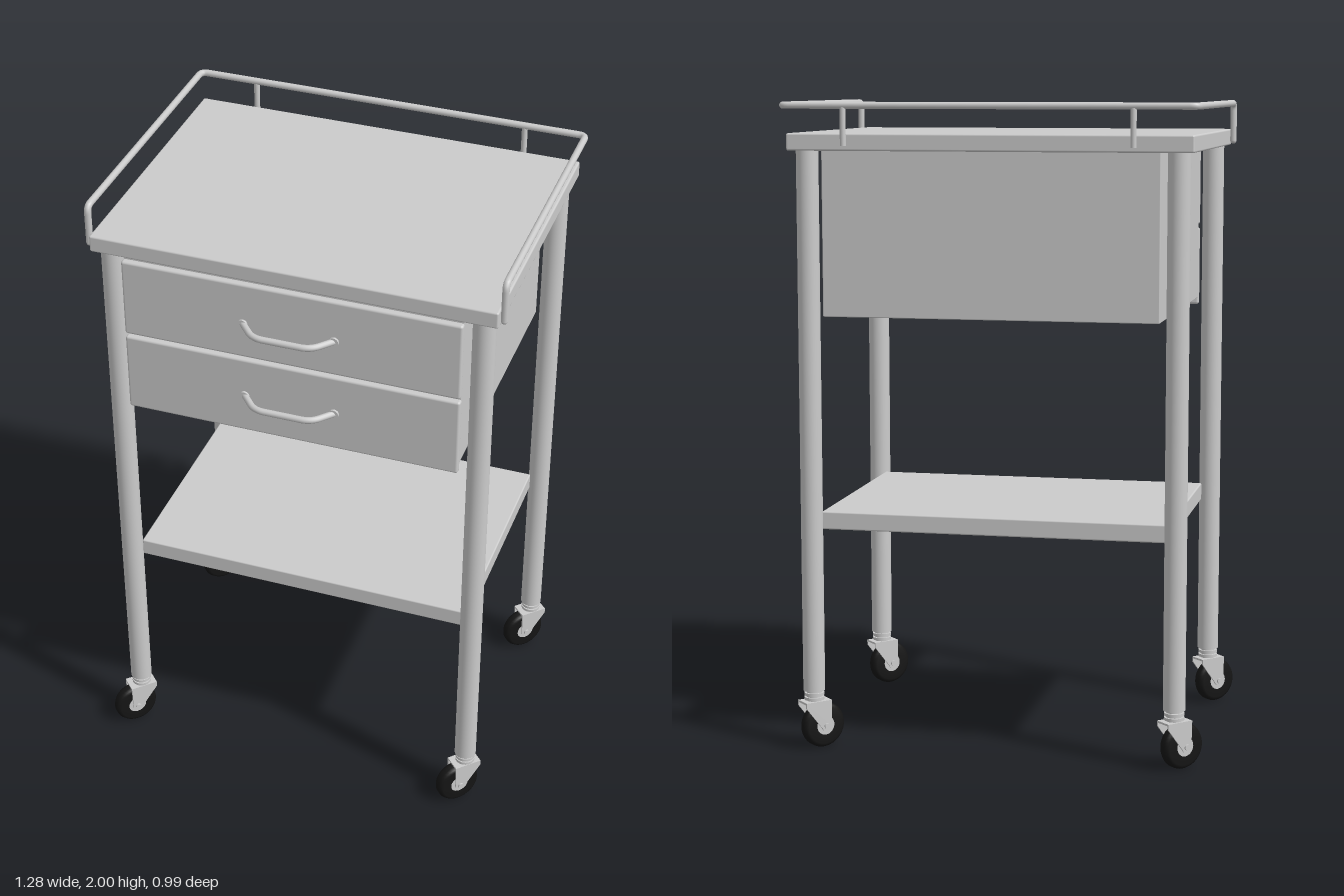
import * as THREE from 'three';
import { RoundedBoxGeometry } from 'three/addons/geometries/RoundedBoxGeometry.js';

const grey = new THREE.MeshStandardMaterial({ color: 0xcccccc });
const black = new THREE.MeshStandardMaterial({ color: 0x151515 });

function add(parent, name, geometry, material = grey) {
  const mesh = new THREE.Mesh(geometry, material);
  mesh.name = name;
  parent.add(mesh);
  return mesh;
}

// Box given by its lower and upper limits, with softened edges
function panel(parent, name, [x0, y0, z0], [x1, y1, z1], r = 0.006) {
  const mesh = add(parent, name, new RoundedBoxGeometry(x1 - x0, y1 - y0, z1 - z0, 2, r));
  mesh.position.set((x0 + x1) / 2, (y0 + y1) / 2, (z0 + z1) / 2);
  return mesh;
}

function cylinder(parent, name, r, h, x, y, z, material = grey) {
  const mesh = add(parent, name, new THREE.CylinderGeometry(r, r, h, 32), material);
  mesh.position.set(x, y, z);
  return mesh;
}

// Bent rod: straight runs joined by rounded corners, with closed ends
function rod(parent, name, coords, bend, r, segments) {
  const pts = coords.map((c) => new THREE.Vector3(...c));
  const path = new THREE.CurvePath();
  let from = pts[0];
  for (let i = 1; i < pts.length - 1; i++) {
    const a = pts[i].clone().add(pts[i - 1].clone().sub(pts[i]).setLength(bend));
    const b = pts[i].clone().add(pts[i + 1].clone().sub(pts[i]).setLength(bend));
    path.add(new THREE.LineCurve3(from, a));
    path.add(new THREE.QuadraticBezierCurve3(a, pts[i], b));
    from = b;
  }
  path.add(new THREE.LineCurve3(from, pts[pts.length - 1]));
  const group = new THREE.Group();
  group.name = name;
  add(group, name + 'Rod', new THREE.TubeGeometry(path, segments, r, 12));
  for (const p of [pts[0], pts[pts.length - 1]]) {
    add(group, name + 'End', new THREE.SphereGeometry(r, 12, 8)).position.copy(p);
  }
  parent.add(group);
  return group;
}

// Swivel caster; local +x is the trailing direction, local z the axle
function caster(x, z) {
  const g = new THREE.Group();
  g.name = 'caster';
  const trail = 0.028, axleY = 0.071;

  const tread = [[0.03, -0.021], [0.058, -0.021], [0.066, -0.017], [0.071, -0.008],
    [0.071, 0.008], [0.066, 0.017], [0.058, 0.021], [0.03, 0.021]];
  const tyre = add(g, 'tyre', new THREE.LatheGeometry(
    tread.map((p) => new THREE.Vector2(...p)), 40), black);
  tyre.rotation.x = Math.PI / 2;
  tyre.position.set(trail, axleY, 0);
  const hub = cylinder(g, 'hub', 0.04, 0.036, trail, axleY, 0);
  hub.rotation.x = Math.PI / 2;
  const axle = cylinder(g, 'axle', 0.009, 0.068, trail, axleY, 0);
  axle.rotation.x = Math.PI / 2;

  // Fork cheeks narrow from the top plate down to the axle
  const cheek = new THREE.Shape();
  cheek.moveTo(-0.042, 0.15);
  cheek.lineTo(-0.042, 0.135);
  cheek.lineTo(trail - 0.016, axleY - 0.006);
  cheek.absarc(trail, axleY, 0.017, Math.PI * 1.12, Math.PI * 2, false);
  cheek.lineTo(0.047, 0.15);
  for (const side of [-1, 1]) {
    const plate = add(g, 'forkCheek', new THREE.ExtrudeGeometry(cheek,
      { depth: 0.005, bevelEnabled: false }));
    plate.position.z = side * 0.0265 - 0.0025;
  }
  const top = add(g, 'forkTop', new THREE.BoxGeometry(0.089, 0.006, 0.058));
  top.position.set(0.0025, 0.149, 0);

  // Swivel bearing rings and stem
  cylinder(g, 'stem', 0.024, 0.045, 0, 0.17, 0);
  cylinder(g, 'bearingRing', 0.031, 0.009, 0, 0.16, 0);
  cylinder(g, 'bearingRing', 0.031, 0.009, 0, 0.174, 0);

  g.position.set(x, 0, z);
  g.rotation.y = -Math.PI * 0.75;
  return g;
}

export function createModel() {
  const model = new THREE.Group();
  model.name = 'drawerTrolley';

  // Legs and casters
  for (const x of [-0.561, 0.569]) {
    for (const z of [-0.423, 0.37]) {
      cylinder(model, 'leg', 0.034, 1.675, x, 1.0225, z);
      model.add(caster(x, z));
    }
  }

  // Table top, lower shelf and drawer cabinet
  panel(model, 'tableTop', [-0.612, 1.855, -0.476], [0.619, 1.907, 0.417]);
  panel(model, 'lowerShelf', [-0.537, 0.69, -0.4], [0.545, 0.746, 0.347], 0.005);
  panel(model, 'cabinet', [-0.51, 1.355, -0.448], [0.518, 1.857, 0.402], 0.003);

  // Drawer fronts with bow handles
  for (const [y0, y1, handleY] of [[1.596, 1.846, 1.713], [1.333, 1.586, 1.46]]) {
    panel(model, 'drawerFront', [-0.513, y0, 0.4], [0.521, y1, 0.424], 0.008);
    rod(model, 'handle', [[-0.14, handleY, 0.42], [-0.085, handleY, 0.484],
      [0.09, handleY, 0.484], [0.145, handleY, 0.42]], 0.03, 0.01, 48);
    for (const x of [-0.137, 0.142]) {
      const foot = cylinder(model, 'handleFoot', 0.015, 0.008, x, handleY, 0.427);
      foot.rotation.x = Math.PI / 2;
    }
  }

  // Guard rail around the sides and back, open at the front
  const L = -0.622, R = 0.629, B = -0.487, F = 0.39, railY = 1.99, footY = 1.87;
  rod(model, 'guardRail', [[L, footY, F], [L, railY, F], [L, railY, B],
    [R, railY, B], [R, railY, F], [R, footY, F]], 0.022, 0.0105, 400);
  for (const x of [-0.435, 0.438]) {
    cylinder(model, 'railPost', 0.009, railY - footY, x, (railY + footY) / 2, B);
  }
  return model;
}
